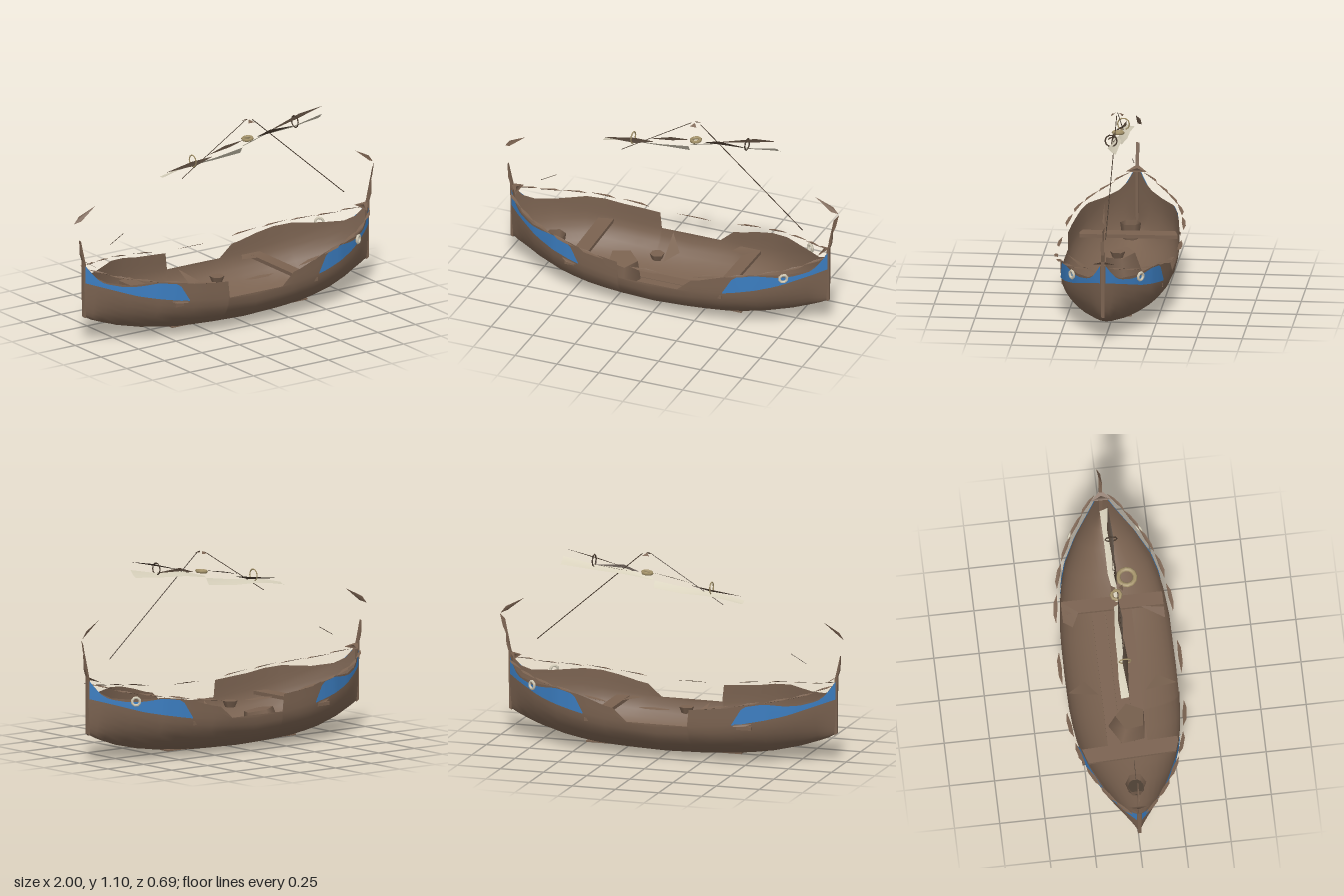
import * as THREE from 'three';

const mat = (name, color, opts = {}) => {
  const m = new THREE.MeshStandardMaterial({ color, side: THREE.DoubleSide, ...opts });
  m.name = name;
  return m;
};

// Hull stations: x, half beam, keel height, sheer height
const STATIONS = [
  [-0.945, 0.008, 0.16, 0.46], [-0.9, 0.05, 0.135, 0.39], [-0.85, 0.09, 0.115, 0.36],
  [-0.75, 0.16, 0.08, 0.345], [-0.6, 0.235, 0.045, 0.355], [-0.5, 0.265, 0.03, 0.345],
  [-0.4, 0.285, 0.018, 0.325], [-0.3, 0.297, 0.012, 0.315], [-0.19, 0.305, 0.007, 0.305],
  [-0.18, 0.305, 0.007, 0.21], [0, 0.307, 0.003, 0.21], [0.17, 0.305, 0.007, 0.21],
  [0.25, 0.302, 0.01, 0.28], [0.3, 0.297, 0.012, 0.29], [0.4, 0.285, 0.018, 0.32],
  [0.5, 0.265, 0.03, 0.345], [0.6, 0.235, 0.045, 0.355], [0.75, 0.16, 0.08, 0.35],
  [0.85, 0.09, 0.115, 0.36], [0.9, 0.05, 0.135, 0.39], [0.945, 0.008, 0.16, 0.46],
];

// Linear lookup in a table whose rows begin with x
function lookup(table, x) {
  let i = 0;
  while (i < table.length - 2 && x > table[i + 1][0]) i++;
  const a = table[i], b = table[i + 1];
  const t = THREE.MathUtils.clamp((x - a[0]) / (b[0] - a[0]), 0, 1);
  return a.map((v, k) => v + (b[k] - v) * t);
}
const bilge = (x) => 0.19 + 0.053 * Math.abs(x);

// Half width of the hull at a point on its side
function hullZ(x, y) {
  const [, beam, keel] = lookup(STATIONS, x);
  const s = THREE.MathUtils.clamp((y - keel) / bilge(x), 0, 1);
  return beam * Math.sqrt(1 - (1 - s) ** 2);
}

// Skin a grid of points: rows of equal length
function skin(rows) {
  const n = rows[0].length, idx = [];
  for (let i = 0; i < rows.length - 1; i++)
    for (let j = 0; j < n - 1; j++) {
      const a = i * n + j, b = a + n;
      idx.push(a, b, a + 1, b, b + 1, a + 1);
    }
  const g = new THREE.BufferGeometry();
  g.setAttribute('position', new THREE.Float32BufferAttribute(rows.flat(2), 3));
  g.setIndex(idx);
  g.computeVertexNormals();
  return g;
}

function hullGeometry() {
  return skin(STATIONS.map(([x, beam, keel, top]) => {
    const row = [], h = bilge(x);
    for (let j = -10; j <= 10; j++) {
      const k = Math.abs(j), side = Math.sign(j);
      const a = Math.min(k, 8) / 8 * Math.PI / 2;
      let y = keel + h * (1 - Math.cos(a));
      if (k > 8) y += (top - y) * (k - 8) / 2;
      row.push([x, Math.min(y, top), side * beam * Math.sin(a)]);
    }
    return row;
  }));
}

// Thin flat polygon fan from corner points
function plate(points) {
  const g = new THREE.BufferGeometry(), idx = [];
  for (let i = 1; i < points.length - 1; i++) idx.push(0, i, i + 1);
  g.setAttribute('position', new THREE.Float32BufferAttribute(points.flat(), 3));
  g.setIndex(idx);
  g.computeVertexNormals();
  return g;
}

export function createModel() {
  const wood = mat('brown wood', 0x7a6250);
  const flatWood = wood;
  const blue = mat('blue paint', 0x3b7dc0);
  const canvas = mat('cream canvas', 0xd6cfba);
  const rope = mat('tan rope', 0xa8966c);
  const dark = mat('dark rigging', 0x4a3c30);

  const boat = new THREE.Group();
  boat.name = 'boat';
  const add = (name, geo, material, pos = [0, 0, 0], rot = [0, 0, 0]) => {
    const m = new THREE.Mesh(geo, material);
    m.name = name;
    m.position.set(...pos);
    m.rotation.set(...rot);
    boat.add(m);
    return m;
  };
  const line = (name, a, b, r, material) => {
    const curve = new THREE.LineCurve3(new THREE.Vector3(...a), new THREE.Vector3(...b));
    add(name, new THREE.TubeGeometry(curve, 1, r, 5), material);
  };

  add('hull', hullGeometry(), wood);

  // Blue painted panels near both ends: x, lower edge, upper edge
  const panel = [[0.43, 0.23, 0.235], [0.49, 0.24, 0.335], [0.6, 0.26, 0.352], [0.7, 0.28, 0.338],
    [0.78, 0.305, 0.338], [0.86, 0.33, 0.355], [0.9, 0.342, 0.385], [0.943, 0.355, 0.455]];
  for (const end of [-1, 1]) for (const side of [-1, 1]) {
    const rows = [];
    for (let i = 0; i <= 20; i++) {
      const x = 0.43 + 0.513 * i / 20;
      const [, lo, hi] = lookup(panel, x);
      rows.push([0, 0.33, 0.67, 1].map((t) => {
        const y = lo + (hi - lo) * t;
        return [end * x, y, side * (hullZ(end * x, y) + 0.005)];
      }));
    }
    add('bluePanel', skin(rows), blue);
  }

  // Broken gunwale rail: a row of thin slivers just outside the sheer
  const rail = [[0, 0.305, 0.1], [0.34, 0.33, 0.08], [0.52, 0.355, 0.07], [0.67, 0.375, 0.07], [0.79, 0.395, 0.06], [0.89, 0.425, 0.05]];
  const out = (x) => lookup(STATIONS, x)[1];
  for (const side of [-1, 1]) for (const end of [-1, 1]) for (const [cx, y, half] of rail) {
    if (cx === 0 && end < 0) continue;
    const rise = cx ? 0.014 : 0;
    const pt = (x, dy, dz) => [end * x, y + dy, side * (out(x) + dz)];
    add('railPiece', plate([
      pt(cx - half, -rise, 0.022), pt(cx - half * 0.4, -0.004, 0.036),
      pt(cx + half * 0.5, rise * 0.5 - 0.004, 0.036), pt(cx + half, rise, 0.02), pt(cx, 0.005, 0.014),
    ]), wood);
  }

  // Stem posts with the loose pieces of their curled tips
  for (const end of [-1, 1]) {
    const post = new THREE.Shape();
    [[0.935, 0.15], [0.95, 0.16], [0.952, 0.48], [0.965, 0.52], [0.968, 0.6], [0.945, 0.5], [0.935, 0.46]]
      .forEach(([x, y], i) => (i ? post.lineTo(end * x, y) : post.moveTo(end * x, y)));
    add('stemPost', new THREE.ExtrudeGeometry(post, { depth: 0.018, bevelEnabled: false }), flatWood, [0, 0, -0.009]);
    add('stemCurl', plate([[end * 0.865, 0.785, 0], [end * 0.965, 0.735, -0.016], [end * 0.995, 0.695, -0.02], [end * 0.96, 0.71, 0]]), wood);
    add('stemCap', plate([[end * 0.9, 0.45, -0.06], [end * 0.95, 0.48, 0], [end * 0.9, 0.45, 0.06], [end * 0.92, 0.465, 0]]), wood);
  }
  add('stemTip', plate([[0.945, 0.52, 0], [0.975, 0.66, 0], [1, 0.69, -0.015], [0.985, 0.62, -0.01]]), wood);

  // Benches, floor planks and ribs
  add('rearBench', new THREE.BoxGeometry(0.085, 0.02, 0.54), flatWood, [-0.485, 0.215, 0], [0, 0.04, 0]);
  add('frontBench', new THREE.BoxGeometry(0.075, 0.02, 0.56), flatWood, [0.385, 0.2, 0]);
  add('benchKnee', plate([[0.42, 0.212, -0.28], [0.3, 0.212, -0.28], [0.27, 0.205, -0.23], [0.35, 0.212, -0.19]]), wood);
  add('benchKnee', plate([[0.35, 0.212, 0.15], [0.27, 0.205, 0.28], [0.33, 0.212, 0.28]]), wood);
  for (const z of [-0.075, 0, 0.075])
    add('floorPlank', new THREE.BoxGeometry(0.9, 0.008, 0.07), flatWood, [0.02, 0.032, z]);
  for (const side of [-1, 1]) {
    add('rib', plate([[-0.11, 0.2, side * 0.3], [-0.1, 0.1, side * 0.13], [-0.03, 0.14, side * 0.2]]), wood);
  }

  // Cargo: chest, bucket, small pot and a coil of rope
  add('chest', new THREE.CylinderGeometry(0.085, 0.11, 0.12, 5), wood, [-0.28, 0.11, 0.02], [0.2, 0.5, -0.15]);
  add('bucket', new THREE.CylinderGeometry(0.058, 0.045, 0.09, 6, 1, true), wood, [-0.68, 0.18, 0.01]);
  add('bucketBase', new THREE.CircleGeometry(0.05, 6), dark, [-0.68, 0.16, 0.01], [-Math.PI / 2, 0, 0]);
  add('pot', new THREE.CylinderGeometry(0.042, 0.028, 0.035, 6), wood, [-0.07, 0.222, 0.02]);
  add('ropeCoil', new THREE.TorusGeometry(0.047, 0.013, 6, 12), rope, [0.555, 0.13, 0.1], [Math.PI / 2, 0, 0]);

  // Pale rope loops over the sides
  for (const side of [-1, 1])
    add('sideLoop', new THREE.TorusGeometry(0.022, 0.008, 5, 8), canvas, [0.755, 0.345, side * 0.19], [0, side * 0.6, 0.3]);

  // Small cleats on the sides
  for (const side of [-1, 1])
    add('cleat', plate([[-0.54, 0.24, side * 0.262], [-0.45, 0.24, side * 0.29], [-0.44, 0.225, side * 0.29], [-0.5, 0.228, side * 0.285]]), wood);

  // Furled sail in two lengths: x, top y, lower y, width toward the back
  const sail = (rows) => add('furledSail', skin(rows.map(([x, y0, y1, w]) =>
    [[x, y0, 0.004], [x, (y0 + y1) / 2 - 0.004, -w * 0.4], [x, y1, -w]])), canvas);
  sail([[-0.41, 0.868, 0.858, 0.04], [-0.3, 0.893, 0.878, 0.042], [-0.2, 0.905, 0.888, 0.036], [-0.06, 0.918, 0.89, 0.034], [0.11, 0.942, 0.905, 0.02]]);
  sail([[0.12, 0.955, 0.948, 0.01], [0.28, 0.998, 0.975, 0.036], [0.45, 1.003, 0.985, 0.036], [0.64, 1.04, 1.002, 0.04]]);

  // Yard remnants along the top of the sail
  const yard = (pts) => add('yardPiece', plate(pts), dark);
  yard([[-0.4, 0.89, 0.004], [-0.2, 0.902, 0.02], [-0.09, 0.93, 0.01], [-0.22, 0.915, -0.012]]);
  yard([[-0.12, 0.94, 0.004], [0.02, 0.965, 0.016], [0.12, 0.985, 0.004], [0, 0.968, -0.01]]);
  yard([[0.27, 1.0, 0.004], [0.46, 1.045, 0.016], [0.64, 1.085, 0.004], [0.5, 1.062, -0.014]]);
  yard([[0.2, 0.985, 0.004], [0.29, 1.015, 0.012], [0.46, 1.005, 0.004], [0.3, 0.99, -0.008]]);

  // Rings that held the sail to the yard
  add('yardRing', new THREE.TorusGeometry(0.033, 0.004, 4, 10), dark, [0.46, 1.028, 0.003], [0, Math.PI / 2, 0]);
  add('yardRing', new THREE.TorusGeometry(0.033, 0.004, 4, 10), rope, [-0.22, 0.925, 0.003], [0, Math.PI / 2, 0]);
  add('mastRing', new THREE.TorusGeometry(0.026, 0.01, 5, 8), rope, [0.15, 0.985, -0.005], [Math.PI / 2, 0.1, 0]);

  // Rigging lines and the masthead remnant
  line('foreStay', [0.18, 1.09, 0], [0.79, 0.56, 0], 0.0025, dark);
  line('backStay', [0.125, 1.09, 0], [-0.29, 0.835, 0], 0.002, dark);
  line('stayEnd', [-0.68, 0.59, 0], [-0.77, 0.54, 0], 0.0015, dark);
  for (const side of [-1, 1])
    add('mastCap', plate([[0.13, 1.085, side * 0.033], [0.15, 1.098, side * 0.008], [0.17, 1.085, side * 0.033], [0.15, 1.085, side * 0.02]]), wood);

  return boat;
}
